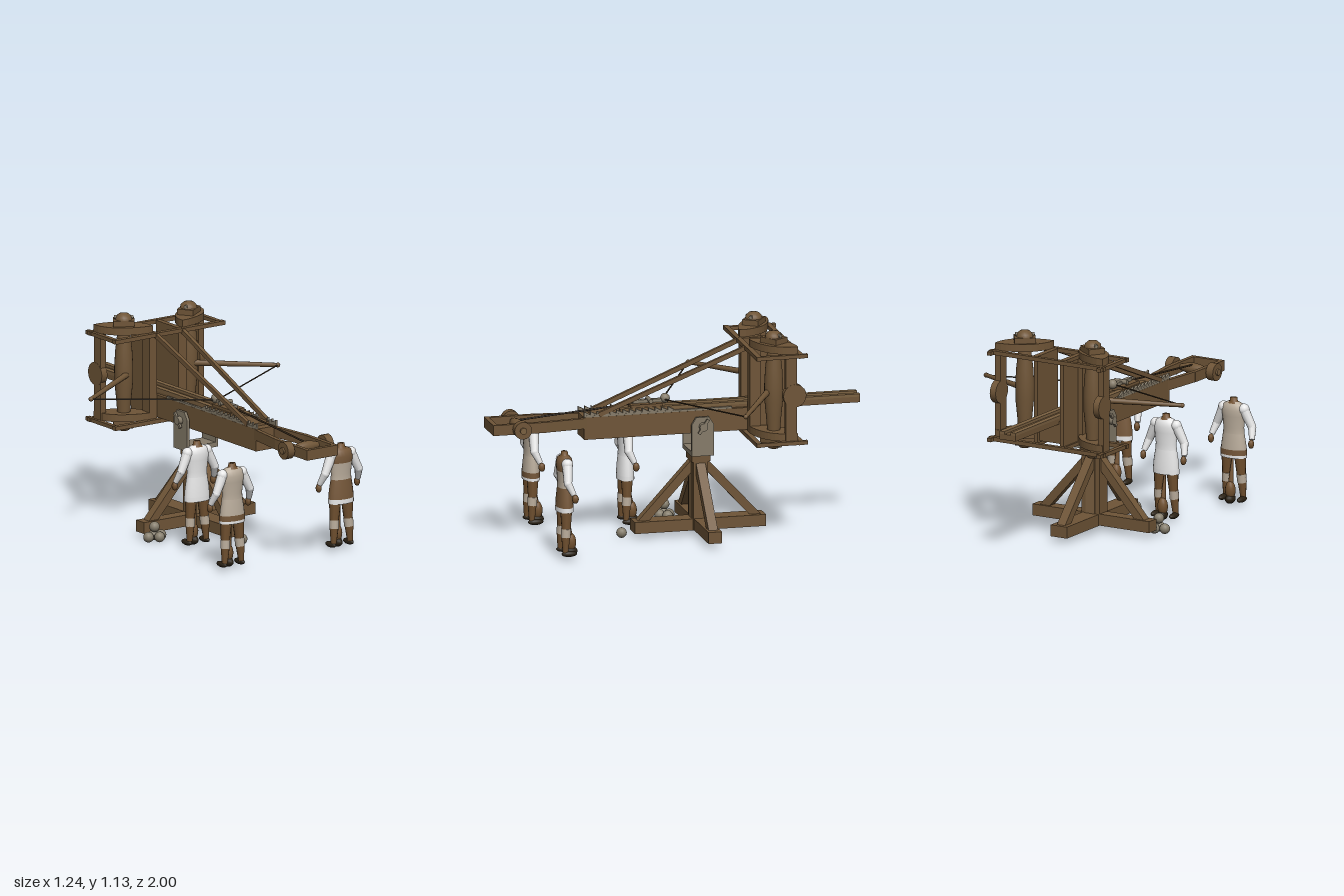
import * as THREE from 'three';

const material = (name, color) => {
  const m = new THREE.MeshStandardMaterial({ color, side: THREE.DoubleSide });
  m.name = name;
  return m;
};
const wood = material('wood', 0x6f5537);
const paleWood = material('pale wood', 0x7a6040);
const iron = material('iron', 0x857b69);
const rope = material('rope', 0x382b1c);
const skin = material('skin', 0x70502f);
const white = material('white cloth', 0xe6e6e6);
const beige = material('beige cloth', 0xb9ac9b);
const brown = material('brown cloth', 0x76583a);
const leather = material('dark leather', 0x2a2114);
const stone = material('stone', 0x857d6c);

const V = (x, y, z) => new THREE.Vector3(x, y, z);

function add(parent, name, geometry, mat, x = 0, y = 0, z = 0) {
  const mesh = new THREE.Mesh(geometry, mat);
  mesh.name = name;
  mesh.position.set(x, y, z);
  parent.add(mesh);
  return mesh;
}

// Box given by its limits on each axis
const block = (p, name, mat, [x0, x1], [y0, y1], [z0, z1]) =>
  add(p, name, new THREE.BoxGeometry(Math.abs(x1 - x0), y1 - y0, Math.abs(z1 - z0)), mat,
    (x0 + x1) / 2, (y0 + y1) / 2, (z0 + z1) / 2);

// Square beam from a to b
function beam(p, name, mat, a, b, w, h) {
  const m = add(p, name, new THREE.BoxGeometry(w, h, a.distanceTo(b)), mat);
  m.position.copy(a).add(b).multiplyScalar(0.5);
  m.lookAt(b);
  return m;
}

// Round tapered rod from a to b
function rod(p, name, mat, a, b, ra, rb = ra, sides = 10) {
  const m = add(p, name, new THREE.CylinderGeometry(rb, ra, a.distanceTo(b), sides), mat);
  m.position.copy(a).add(b).multiplyScalar(0.5);
  m.quaternion.setFromUnitVectors(V(0, 1, 0), b.clone().sub(a).normalize());
  return m;
}

function ball(p, name, mat, x, y, z, rx, ry = rx, rz = rx) {
  const m = add(p, name, new THREE.SphereGeometry(1, 14, 10), mat, x, y, z);
  m.scale.set(rx, ry, rz);
  return m;
}

const lathe = (pts) => new THREE.LatheGeometry(pts.map(([r, y]) => new THREE.Vector2(r, y)), 20);

function buildStand(g) {
  const cz = -0.135;
  block(g, 'crossBeam', wood, [-0.36, 0.36], [0.03, 0.092], [cz - 0.036, cz + 0.036]);
  block(g, 'lengthBeam', wood, [-0.05, 0.05], [0.028, 0.09], [-0.49, 0.22]);
  block(g, 'post', wood, [-0.055, 0.055], [0.03, 0.42], [cz - 0.04, cz + 0.04]);
  block(g, 'postFacing', paleWood, [-0.028, 0.028], [0.09, 0.41], [cz - 0.044, cz + 0.044]);
  block(g, 'postCap', wood, [-0.062, 0.062], [0.4, 0.445], [cz - 0.05, cz + 0.05]);
  for (const s of [-1, 1]) {
    beam(g, 'sideBrace', wood, V(s * 0.31, 0.07, cz), V(s * 0.03, 0.385, cz), 0.05, 0.045);
    beam(g, 'lengthBrace', wood, V(0, 0.07, cz + s * 0.32), V(0, 0.385, cz + s * 0.03), 0.05, 0.045);
  }
  // Iron yoke holding the stock
  block(g, 'yokeBase', iron, [-0.1, 0.1], [0.44, 0.465], [cz - 0.06, cz + 0.06]);
  const cheek = new THREE.Shape([[-0.06, 0.45], [0.06, 0.45], [0.06, 0.61], [0.035, 0.65],
    [-0.035, 0.65], [-0.06, 0.61]].map(([x, y]) => new THREE.Vector2(x, y)));
  for (const s of [-1, 1]) {
    const c = add(g, 'yokeCheek', new THREE.ExtrudeGeometry(cheek, { depth: 0.016, bevelEnabled: false }),
      iron, s * 0.092 - 0.008, 0, cz);
    c.rotation.y = Math.PI / 2;
    rod(g, 'pivotBolt', iron, V(s * 0.07, 0.6, cz), V(s * 0.125, 0.6, cz), 0.022);
    beam(g, 'pivotHandle', iron, V(s * 0.118, 0.565, cz + 0.025), V(s * 0.118, 0.64, cz - 0.025), 0.012, 0.016);
  }
}

function buildStock(g) {
  block(g, 'stock', wood, [-0.07, 0.07], [0.56, 0.68], [-0.57, 0.5]);
  block(g, 'slider', wood, [-0.05, 0.05], [0.665, 0.695], [-1, 0.45]);
  for (const s of [-1, 1]) {
    block(g, 'sliderRail', paleWood, [s * 0.02, s * 0.05], [0.69, 0.71], [-1, 0.3]);
    block(g, 'rackStrip', iron, [s * 0.056, s * 0.069], [0.68, 0.69], [-0.3, 0.5]);
    // Saw-tooth rack
    const rack = new THREE.Shape();
    rack.moveTo(0, 0);
    for (let i = 0; i < 14; i++) rack.lineTo(i * 0.035, 0.026).lineTo((i + 1) * 0.035, 0.008);
    rack.lineTo(0.49, 0);
    const r = add(g, 'rackTeeth', new THREE.ExtrudeGeometry(rack, { depth: 0.012, bevelEnabled: false }),
      iron, s * 0.062 - 0.006, 0.685, 0.5);
    r.rotation.y = Math.PI / 2;
    // Winch fork
    beam(g, 'forkArm', wood, V(s * 0.05, 0.648, 0.42), V(s * 0.088, 0.648, 0.73), 0.024, 0.056);
    block(g, 'forkRail', wood, [s * 0.076, s * 0.1], [0.62, 0.676], [0.71, 1]);
    rod(g, 'winchWheel', wood, V(s * 0.105, 0.65, 0.85), V(s * 0.148, 0.65, 0.85), 0.047, 0.047, 16);
    rod(g, 'winchHub', paleWood, V(s * 0.145, 0.65, 0.85), V(s * 0.158, 0.65, 0.85), 0.018);
    beam(g, 'stay', wood, V(s * 0.062, 0.69, 0.42), V(s * 0.085, 1.012, -0.38), 0.02, 0.024);
  }
  block(g, 'forkEnd', wood, [-0.1, 0.1], [0.62, 0.676], [0.976, 1]);
  rod(g, 'winchAxle', wood, V(-0.15, 0.65, 0.85), V(0.15, 0.65, 0.85), 0.016);
  const drum = add(g, 'winchDrum', lathe([[0.016, -0.075], [0.026, -0.04], [0.031, 0], [0.026, 0.04], [0.016, 0.075]]),
    wood, 0, 0.65, 0.85);
  drum.rotation.z = Math.PI / 2;
  rod(g, 'winchRope', rope, V(0, 0.725, 0.2), V(0, 0.672, 0.85), 0.005);
  // Trigger block and claw
  block(g, 'triggerBlock', wood, [-0.045, 0.045], [0.7, 0.725], [0.07, 0.24]);
  block(g, 'triggerLever', iron, [-0.012, 0.012], [0.72, 0.742], [0.05, 0.22]);
  rod(g, 'triggerPin', iron, V(-0.04, 0.738, 0.13), V(0.04, 0.738, 0.13), 0.012);
  ball(g, 'claw', iron, 0, 0.742, 0.045, 0.026);
}

function buildFrame(g) {
  for (const y of [0.532, 1.0]) {
    block(g, 'frontBar', wood, [-0.355, 0.355], [y, y + 0.022], [-0.39, -0.362]);
    block(g, 'backBar', wood, [-0.355, 0.355], [y, y + 0.022], [-0.615, -0.59]);
  }
  for (const s of [-1, 1]) {
    const skein = V(s * 0.21, 0, -0.49);
    for (const y of [0.532, 1.0]) {
      block(g, 'endBar', wood, [s * 0.325, s * 0.35], [y, y + 0.02], [-0.64, -0.37]);
      block(g, 'innerBar', wood, [s * 0.075, s * 0.1], [y, y + 0.02], [-0.6, -0.37]);
    }
    block(g, 'innerPost', wood, [s * 0.07, s * 0.12], [0.55, 1.02], [-0.445, -0.385]);
    block(g, 'innerPlank', wood, [s * 0.07, s * 0.09], [0.55, 1.02], [-0.59, -0.44]);
    block(g, 'outerPost', wood, [s * 0.3, s * 0.335], [0.55, 1.02], [-0.585, -0.525]);
    rod(g, 'postBoss', wood, V(s * 0.3, 0.795, -0.573), V(s * 0.336, 0.795, -0.573), 0.062, 0.062, 20);
    // Leaf-shaped plates set across each half frame
    const leaf = new THREE.Shape();
    leaf.moveTo(s * 0.095, 0.385);
    leaf.lineTo(s * 0.13, 0.385);
    leaf.quadraticCurveTo(s * 0.31, 0.42, s * 0.332, 0.55);
    leaf.lineTo(s * 0.332, 0.59);
    leaf.lineTo(s * 0.295, 0.59);
    leaf.quadraticCurveTo(s * 0.125, 0.56, s * 0.095, 0.42);
    const plate = new THREE.ExtrudeGeometry(leaf, { depth: 0.04, bevelEnabled: false, curveSegments: 12 });
    for (const y of [0.55, 1.02]) add(g, 'leafPlate', plate, wood, 0, y, 0).rotation.x = -Math.PI / 2;
    // Twisted skein with its end caps
    add(g, 'skein', lathe([[0.032, 0.56], [0.04, 0.66], [0.049, 0.75], [0.05, 0.83], [0.045, 0.92], [0.032, 1.03]]),
      wood, skein.x, 0, skein.z);
    for (const [end, dir] of [[1.06, 1], [0.55, -1]]) {
      const cap = new THREE.Group();
      cap.name = 'skeinCap';
      cap.position.set(skein.x, end, skein.z);
      cap.scale.y = dir;
      cap.rotation.y = s * 0.6;
      block(cap, 'washer', wood, [-0.056, 0.056], [0, 0.03], [-0.045, 0.045]);
      add(cap, 'dome', lathe([[0.045, 0.028], [0.042, 0.045], [0.026, 0.06], [0, 0.066]]), wood);
      rod(cap, 'capPin', iron, V(-0.05, 0.042, 0), V(0.05, 0.042, 0), 0.01);
      g.add(cap);
    }
    // Throwing arm and string
    const tip = V(s * 0.605, 0.77, -0.237);
    rod(g, 'bowArm', wood, V(s * 0.2, 0.797, -0.465), tip, 0.017, 0.011);
    ball(g, 'bowTip', wood, tip.x, tip.y, tip.z, 0.013);
    rod(g, 'bowString', rope, tip, V(0, 0.737, 0.06), 0.004, 0.004, 6);
  }
}

// Headless crewman facing -z; each band is [cloth, profile of radius and height]
function buildFigure(g, x, z, bands) {
  const f = new THREE.Group();
  f.name = 'crewman';
  f.position.set(x, 0, z);
  for (const [mat, pts] of bands) add(f, 'tunic', lathe(pts), mat).scale.z = 0.6;
  add(f, 'neck', lathe([[0.036, 0.552], [0.022, 0.562], [0.02, 0.58], [0, 0.58]]), skin).scale.z = 0.85;
  for (const s of [-1, 1]) {
    const shoulder = V(s * 0.062, 0.523, 0), elbow = V(s * 0.108, 0.43, 0.008), wrist = V(s * 0.124, 0.37, -0.02);
    ball(f, 'shoulder', white, shoulder.x, shoulder.y, shoulder.z, 0.03);
    rod(f, 'upperSleeve', white, shoulder, elbow, 0.028, 0.022);
    ball(f, 'elbow', white, elbow.x, elbow.y, elbow.z, 0.022);
    rod(f, 'lowerSleeve', white, elbow, wrist, 0.022, 0.015);
    ball(f, 'hand', skin, s * 0.124, 0.348, -0.028, 0.015, 0.024, 0.018);
    rod(f, 'thigh', skin, V(s * 0.037, 0.29, 0), V(s * 0.045, 0.165, 0.002), 0.034, 0.024);
    rod(f, 'legWrap', beige, V(s * 0.045, 0.17, 0.002), V(s * 0.048, 0.125, 0.005), 0.026, 0.025);
    rod(f, 'shin', skin, V(s * 0.048, 0.13, 0.005), V(s * 0.053, 0.045, 0.008), 0.024, 0.015);
    ball(f, 'shoe', leather, s * 0.057, 0.037, -0.012, 0.018, 0.016, 0.042);
  }
  // Pointed bundle at the feet
  ball(f, 'bundle', skin, 0, 0.085, -0.035, 0.028, 0.05, 0.028);
  ball(f, 'bundleBase', leather, 0, 0.038, -0.035, 0.025, 0.026, 0.036);
  rod(f, 'bundleSpike', skin, V(0, 0.12, -0.03), V(0, 0.27, -0.01), 0.015, 0.004);
  g.add(f);
}

export function createModel() {
  const g = new THREE.Group();
  g.name = 'siegeEngine';
  buildStand(g);
  buildStock(g);
  buildFrame(g);

  const hem = [[0.077, 0.26], [0.076, 0.285]];
  const skirt = [[0.076, 0.285], [0.072, 0.33], [0.062, 0.39]];
  const waist = [[0.062, 0.39], [0.06, 0.42], [0.067, 0.48]];
  const chest = [[0.067, 0.48], [0.072, 0.515], [0.06, 0.545], [0.03, 0.56]];
  const border = [[0.0775, 0.275], [0.0775, 0.305]];
  buildFigure(g, -0.355, 0.68, [[white, hem], [brown, border], [beige, skirt], [beige, waist], [beige, chest]]);
  buildFigure(g, -0.235, 0.2, [[white, hem], [white, skirt], [white, waist], [white, chest]]);
  buildFigure(g, 0.35, 0.68, [[white, hem], [brown, skirt], [beige, waist], [brown, chest]]);

  // Shot: a small pile and one loose ball
  for (const [x, y, z] of [[-0.375, 0.028, -0.04], [-0.325, 0.028, -0.062], [-0.325, 0.028, -0.01],
    [-0.29, 0.028, -0.045], [-0.338, 0.08, -0.038], [0, 0.028, 0.28]]) ball(g, 'shot', stone, x, y, z, 0.028);
  return g;
}
